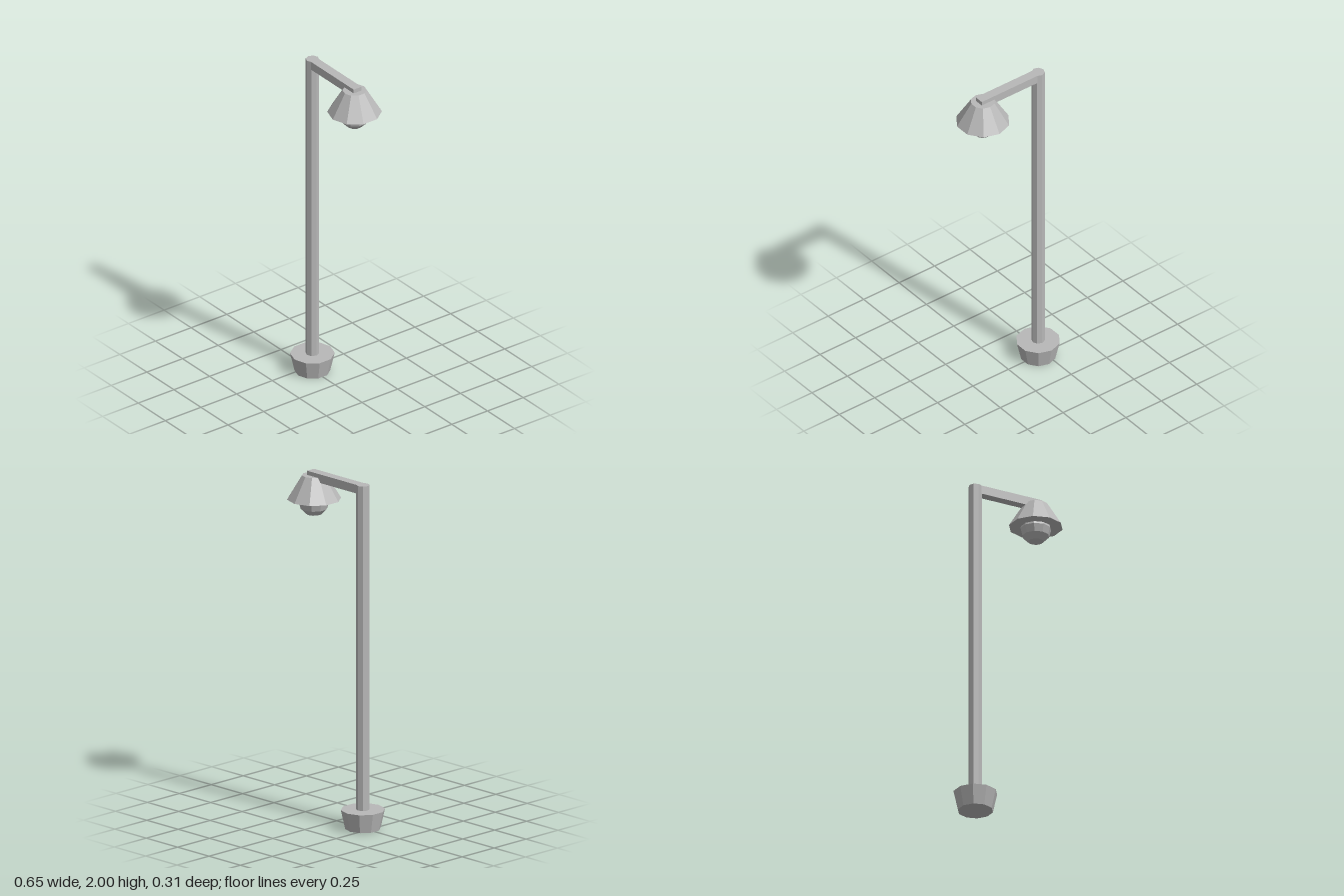
import * as THREE from 'three';

export function createModel() {
  const lamp = new THREE.Group();
  lamp.name = 'streetLamp';
  const grey = new THREE.MeshStandardMaterial({ color: 0xb8b8b8, flatShading: true });
  grey.name = 'grey';

  const poleX = -0.209, headX = 0.181;

  const add = (name, geometry, x, y) => {
    const mesh = new THREE.Mesh(geometry, grey);
    mesh.name = name;
    mesh.position.set(x, y, 0);
    lamp.add(mesh);
    return mesh;
  };
  // Tapered prism spanning y0 to y1
  const prism = (name, x, y0, y1, rBottom, rTop, sides) =>
    add(name, new THREE.CylinderGeometry(rTop, rBottom, y1 - y0, sides), x, (y0 + y1) / 2);

  // Foot flaring upward, and the upright pole
  prism('base', poleX, 0, 0.111, 0.1, 0.125, 10);
  prism('pole', poleX, 0.05, 2, 0.038, 0.038, 8);

  // Horizontal arm, flush with the pole top
  add('arm', new THREE.BoxGeometry(0.418, 0.05, 0.055), 0, 1.975);

  // Lamp head: closed shade with a faceted bulb below
  prism('shade', headX, 1.838, 1.976, 0.153, 0.068, 10);
  const bulb = add('bulb', new THREE.SphereGeometry(0.0875, 10, 6), headX, 1.826);
  bulb.rotation.y = Math.PI / 2;

  return lamp;
}
